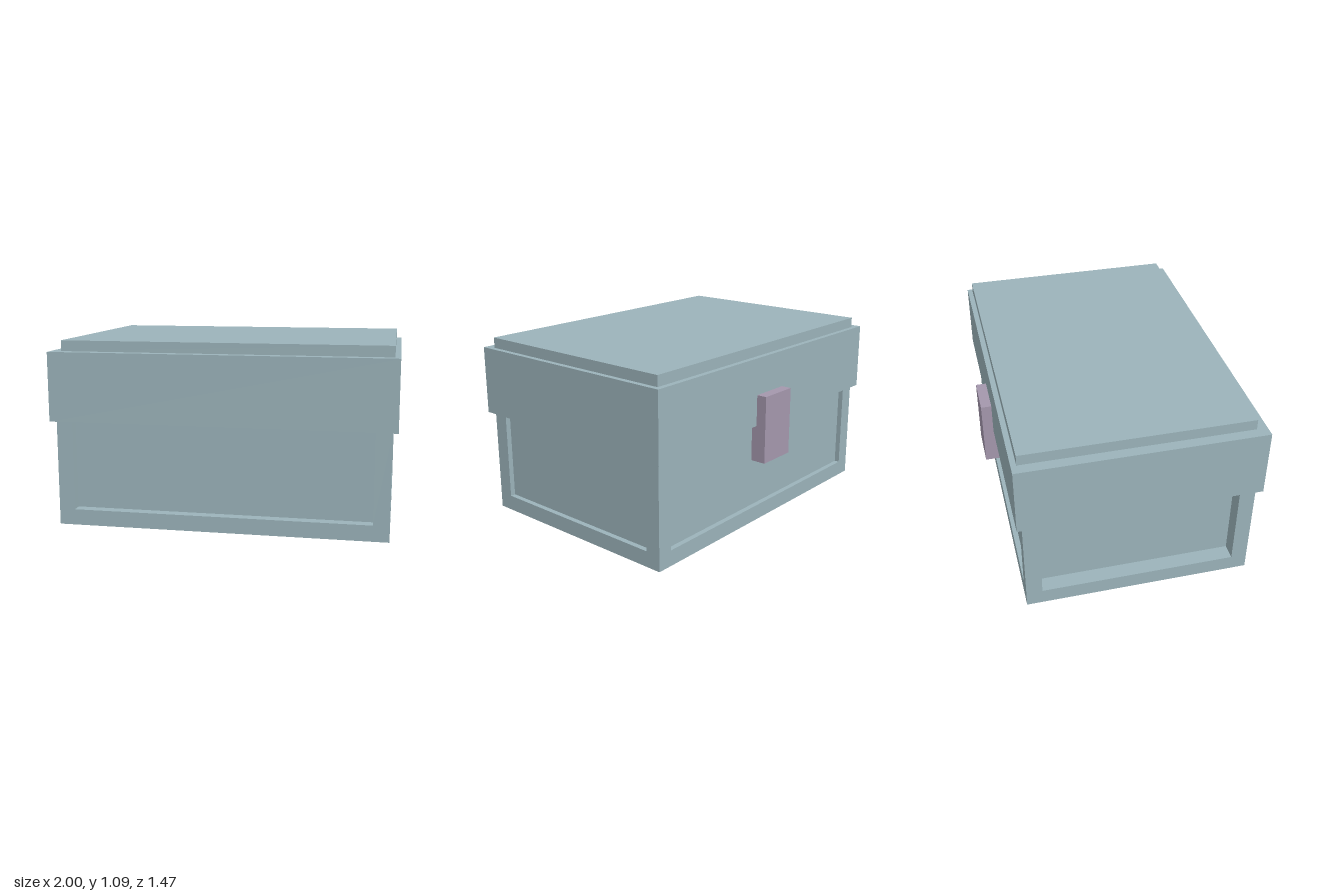
import * as THREE from 'three';

const U = 1 / 32; // building grid unit

export function createModel() {
  const chest = new THREE.Group();
  chest.name = 'chest';
  const shell = new THREE.MeshStandardMaterial({ name: 'greyBlue', color: 0x9bb3ba });
  const metal = new THREE.MeshStandardMaterial({ name: 'mauve', color: 0xa497ad });

  // box between two corners given in grid units
  function block(name, [x0, y0, z0], [x1, y1, z1], material = shell) {
    const geometry = new THREE.BoxGeometry((x1 - x0) * U, (y1 - y0) * U, (z1 - z0) * U);
    const mesh = new THREE.Mesh(geometry, material);
    mesh.name = name;
    mesh.position.set((x0 + x1) / 2 * U, (y0 + y1) / 2 * U, (z0 + z1) / 2 * U);
    chest.add(mesh);
  }

  // base slab and the recessed walls above it (each side set back differently)
  block('baseSlab', [-31, 0, -20.5], [31, 3, 22.5]);
  block('recessedWalls', [-28, 3, -19.5], [30, 20, 20.5]);

  // corner posts framing the recessed walls
  for (const [sideName, x] of [['Right', 28], ['Left', -31]]) {
    for (const [endName, z] of [['front', 19.5], ['back', -20.5]]) {
      block(`${endName}${sideName}Post`, [x, 3, z], [x + 3, 20, z + 3]);
    }
  }

  // overhanging lid with a raised top plate
  block('lid', [-32, 20, -21.5], [32, 33, 23.5]);
  block('lidTopPlate', [-30, 33, -20.5], [31, 35, 21.5]);

  // latch hanging over the lid edge
  block('latch', [-3, 13, -23.5], [5, 26, -20.5], metal);

  return chest;
}
